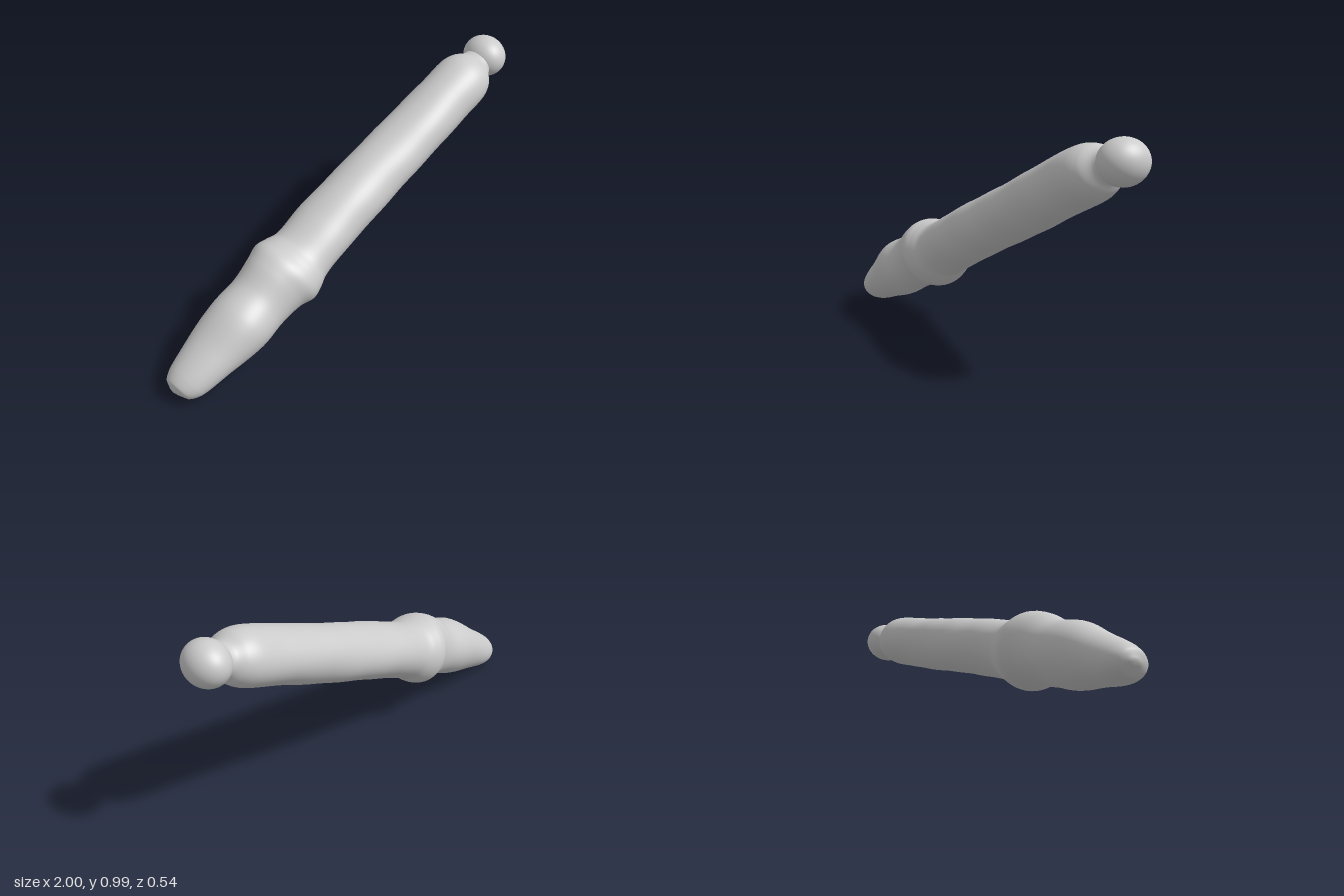
import * as THREE from 'three';

const material = new THREE.MeshStandardMaterial({ color: 0xcccccc });

// Tilted frame of the stick: along, upward across, sideways across
const along = new THREE.Vector3(0.895, 0.4, -0.165).normalize();
const up = new THREE.Vector3(-along.y, along.x, 0).normalize();
const side = new THREE.Vector3().crossVectors(along, up);

// Stations from the tip to the neck: centre x, y, z, radius up, radius sideways
const stations = [
  [-0.99, 0.06, 0.16, 0.015, 0.025],
  [-0.972, 0.063, 0.16, 0.052, 0.068],
  [-0.93, 0.078, 0.155, 0.076, 0.096],
  [-0.79, 0.15, 0.135, 0.108, 0.125],
  [-0.645, 0.225, 0.118, 0.137, 0.147],
  [-0.53, 0.277, 0.093, 0.135, 0.141],
  [-0.435, 0.328, 0.075, 0.153, 0.155],
  [-0.375, 0.345, 0.062, 0.166, 0.173],
  [-0.325, 0.362, 0.053, 0.149, 0.165],
  [-0.28, 0.382, 0.045, 0.13, 0.151],
  [-0.15, 0.447, 0.017, 0.127, 0.149],
  [0, 0.516, -0.01, 0.126, 0.147],
  [0.2, 0.604, -0.044, 0.124, 0.143],
  [0.4, 0.692, -0.073, 0.123, 0.14],
  [0.6, 0.783, -0.105, 0.121, 0.136],
  [0.745, 0.847, -0.13, 0.118, 0.132],
  [0.795, 0.868, -0.14, 0.1, 0.114],
  [0.835, 0.884, -0.15, 0.07, 0.08],
  [0.88, 0.9, -0.163, 0.06, 0.07],
];

// Smooth loft through the stations, with a faint hand-shaped unevenness
function loftGeometry(rings, segments) {
  const centres = new THREE.CatmullRomCurve3(stations.map(s => new THREE.Vector3(s[0], s[1], s[2])));
  const radii = new THREE.CatmullRomCurve3(stations.map(s => new THREE.Vector3(s[3], s[4], s[0])));
  const positions = [], index = [];
  for (let i = 0; i <= rings; i++) {
    const c = centres.getPoint(i / rings), r = radii.getPoint(i / rings);
    for (let j = 0; j < segments; j++) {
      const a = (j / segments) * Math.PI * 2;
      const k = 1 + 0.009 * Math.sin(3 * a + 11 * c.x) + 0.007 * Math.sin(2 * a - 29 * c.x);
      const p = c.clone()
        .addScaledVector(up, r.x * k * Math.cos(a))
        .addScaledVector(side, r.y * k * Math.sin(a));
      positions.push(p.x, p.y, p.z);
      if (i < rings) {
        const n = (j + 1) % segments, b = i * segments, t = b + segments;
        index.push(b + j, b + n, t + j, b + n, t + n, t + j);
      }
    }
  }
  // Closing point of the rounded tip
  const tip = positions.length / 3;
  positions.push(-0.995, 0.06, 0.16);
  for (let j = 0; j < segments; j++) index.push(tip, (j + 1) % segments, j);

  const geometry = new THREE.BufferGeometry();
  geometry.setAttribute('position', new THREE.Float32BufferAttribute(positions, 3));
  geometry.setIndex(index);
  geometry.computeVertexNormals();
  return geometry;
}

export function createModel() {
  const group = new THREE.Group();
  group.name = 'knobbedStick';

  // Shaft with collar and tapered tip
  const shaft = new THREE.Mesh(loftGeometry(144, 48), material);
  shaft.name = 'shaft';
  group.add(shaft);

  // Ball on the upper end, slightly wider sideways
  const knob = new THREE.Mesh(new THREE.SphereGeometry(1, 48, 32), material);
  knob.name = 'endKnob';
  knob.scale.set(0.092, 0.094, 0.107);
  knob.position.set(0.907, 0.903, -0.168);
  group.add(knob);

  return group;
}
